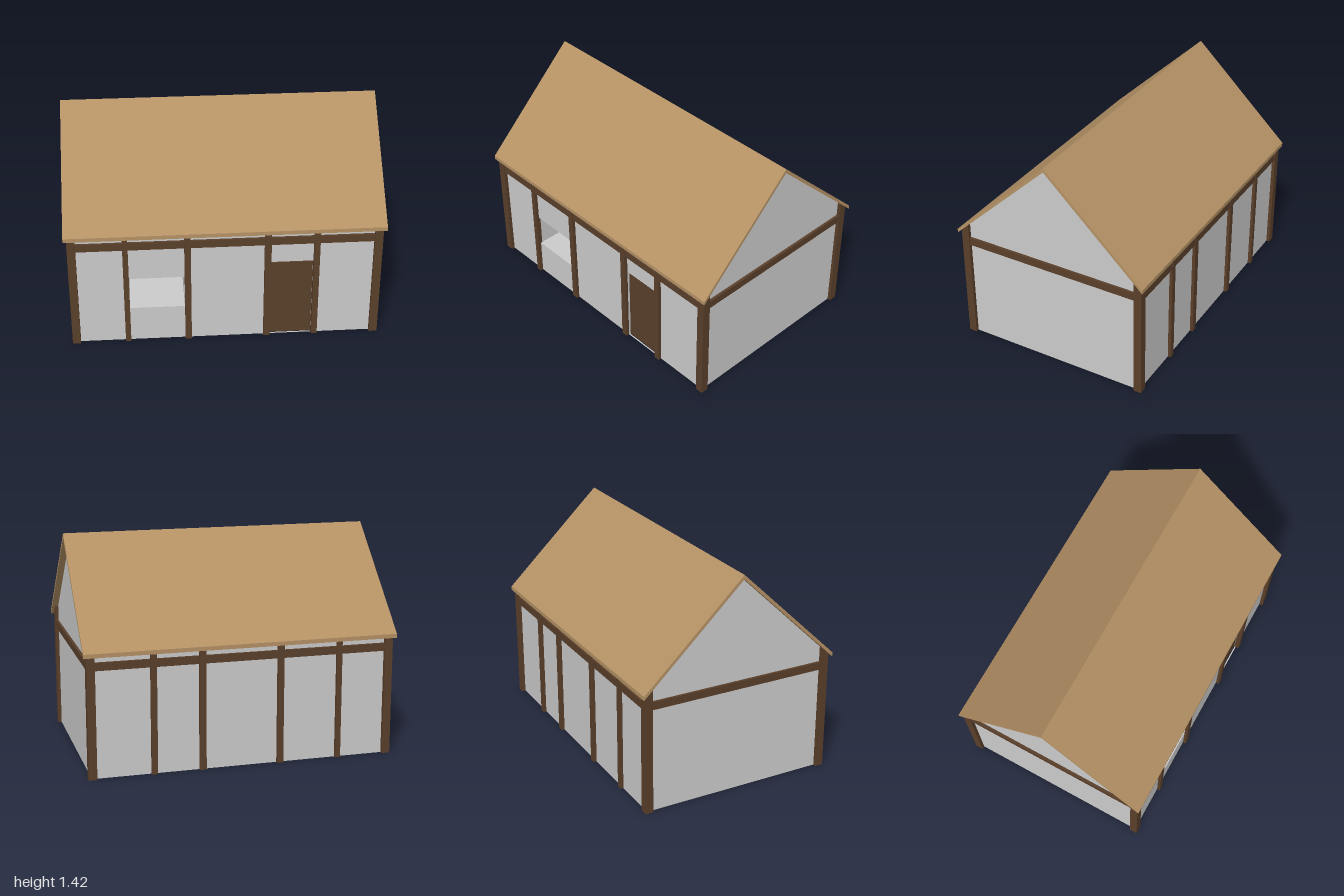
import * as THREE from 'three';

const wood = new THREE.MeshStandardMaterial({ color: 0x5a3f2a });
const thatch = new THREE.MeshStandardMaterial({ color: 0xb59265 });
const plaster = new THREE.MeshStandardMaterial({ color: 0xcccccc, side: THREE.DoubleSide });

const SLOPE = 0.954, RIDGE = 1.39;          // underside of the roof
const WALL_Z = 0.613, WALL_X = 0.955, T = 0.008;
const underRoof = z => RIDGE - SLOPE * Math.abs(z);

export function createModel() {
  const house = new THREE.Group();

  const add = (name, geometry, material, parent = house) => {
    const mesh = new THREE.Mesh(geometry, material);
    mesh.name = name;
    parent.add(mesh);
    return mesh;
  };
  // Box given by its minimum and maximum on each axis
  const box = (name, x0, x1, y0, y1, z0, z1, material, parent) => {
    const g = new THREE.BoxGeometry(x1 - x0, y1 - y0, z1 - z0);
    g.translate((x0 + x1) / 2, (y0 + y1) / 2, (z0 + z1) / 2);
    return add(name, g, material, parent);
  };
  // Profile of [z, y] points extruded along x, centred on x
  const alongX = (name, points, x, width, material) => {
    const shape = new THREE.Shape(points.map(p => new THREE.Vector2(...p)));
    const g = new THREE.ExtrudeGeometry(shape, { depth: width, bevelEnabled: false });
    g.translate(0, 0, -width / 2).rotateY(-Math.PI / 2).translate(x, 0, 0);
    return add(name, g, material);
  };
  const rect = (x0, x1, y0, y1) => [[x0, y0], [x1, y0], [x1, y1], [x0, y1]]
    .map(p => new THREE.Vector2(...p));

  // Roof: one folded slab with vertical eave edges
  alongX('roof', [[0, 1.417], [-0.656, 0.791], [-0.656, 0.765], [0, RIDGE],
    [0.656, 0.765], [0.656, 0.791]], 0, 2, thatch);

  // Openings in the front wall
  const win = { x0: -0.61, x1: -0.26, y0: 0.24, y1: 0.46 };
  const door = { x0: 0.285, x1: 0.552, y0: 0, y1: 0.545 };

  // Long walls
  for (const s of [1, -1]) {
    const shape = new THREE.Shape(rect(-WALL_X, WALL_X, 0, underRoof(WALL_Z)));
    if (s > 0) {
      shape.holes.push(new THREE.Path(rect(win.x0, win.x1, win.y0, win.y1)));
      // The doorway reaches almost to the ground line
      shape.holes.push(new THREE.Path(rect(door.x0, door.x1, 0.002, door.y1)));
    }
    const g = new THREE.ExtrudeGeometry(shape, { depth: T, bevelEnabled: false });
    g.translate(0, 0, s * WALL_Z - T / 2);
    add(s > 0 ? 'frontWall' : 'backWall', g, plaster);
  }

  // Gable walls
  for (const s of [1, -1]) {
    const h = underRoof(WALL_Z);
    alongX('gableWall', [[-WALL_Z, 0], [WALL_Z, 0], [WALL_Z, h], [0, RIDGE], [-WALL_Z, h]],
      s * WALL_X, T, plaster);
  }

  // Posts with tops cut to the roof slope
  const post = (name, x, width, z0, z1, s) => alongX(name,
    [[s * z0, 0], [s * z1, 0], [s * z1, underRoof(z1)], [s * z0, underRoof(z0)]], x, width, wood);
  for (const s of [1, -1]) {
    for (const x of [-WALL_X, WALL_X]) post('cornerPost', x, 0.052, 0.588, 0.64, s);
    for (const [x, w] of [[-0.625, 0.034], [-0.239, 0.04], [0.263, 0.042], [0.57, 0.038]])
      post('wallPost', x, w, 0.606, 0.638, s);
  }

  // Horizontal beams
  for (const s of [1, -1]) {
    const c = s * 0.613;
    box('longBeam', -0.93, 0.93, 0.68, 0.73, c - 0.021, c + 0.021, wood);
    const e = s * WALL_X;
    box('gableBeam', e - 0.021, e + 0.021, 0.68, 0.73, -0.588, 0.588, wood);
  }

  // Open-fronted recess behind a wall opening
  const recess = (name, o, back, closed) => {
    const g = new THREE.Group();
    g.name = name;
    house.add(g);
    const t = 0.004;
    box('leftSide', o.x1, o.x1 + t, o.y0, o.y1, back, WALL_Z, plaster, g);
    box('rightSide', o.x0 - t, o.x0, o.y0, o.y1, back, WALL_Z, plaster, g);
    box('recessTop', o.x0, o.x1, o.y1, o.y1 + t, back, WALL_Z, plaster, g);
    if (closed) {
      box('recessFloor', o.x0, o.x1, o.y0 - t, o.y0, back, WALL_Z, plaster, g);
      box('recessBack', o.x0 - t, o.x1 + t, o.y0 - t, o.y1 + t, back - t, back, plaster, g);
    }
  };
  recess('windowRecess', win, 0.235, true);
  recess('doorFrame', door, 0.53, false);

  // Door leaf
  box('door', 0.287, 0.55, 0.001, 0.53, 0.535, 0.605, wood);

  return house;
}
